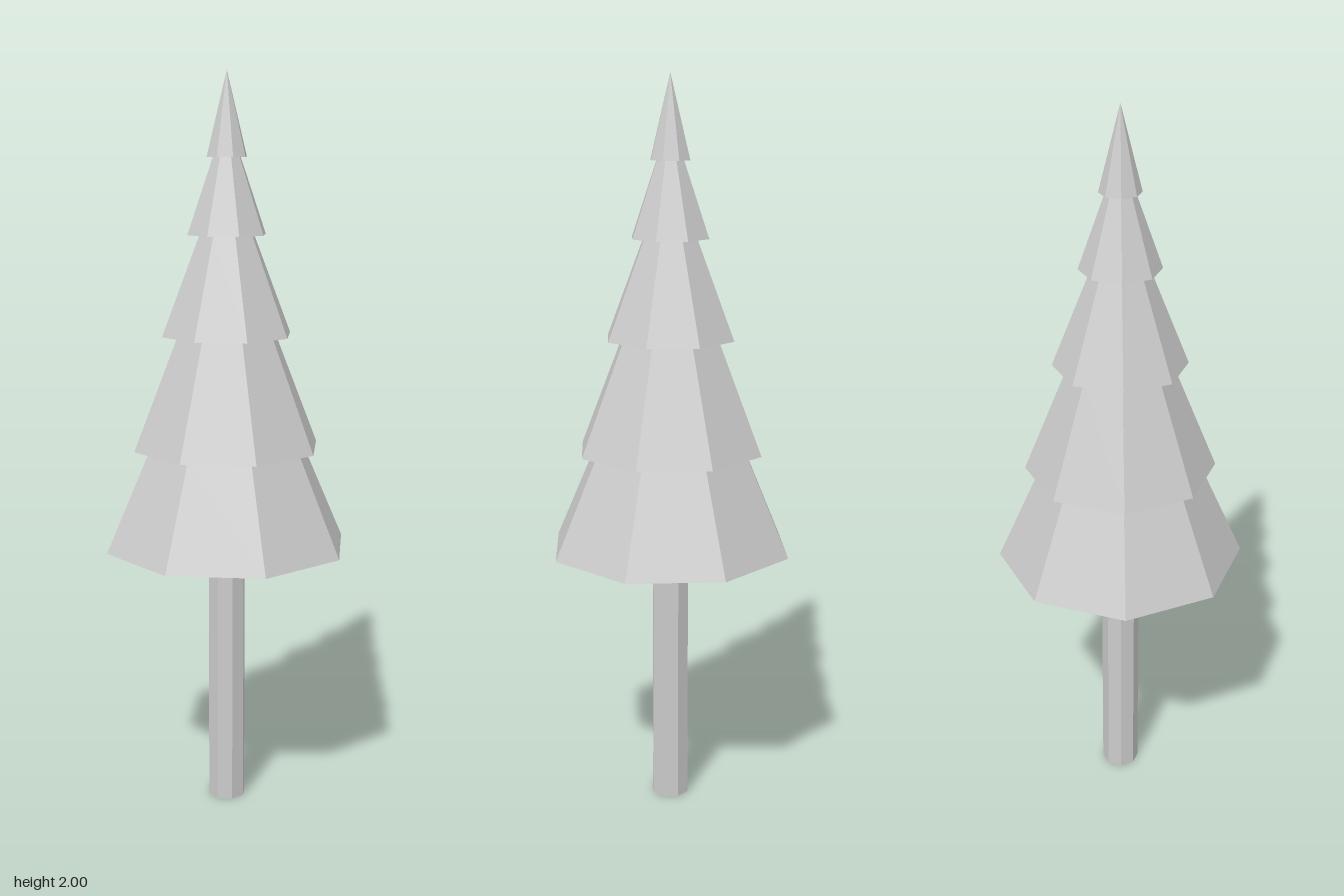
import * as THREE from 'three';

const SIDES = 8;

export function createModel() {
  const tree = new THREE.Group();
  tree.name = 'tree';
  const material = new THREE.MeshStandardMaterial({ color: 0xcccccc, flatShading: true });

  // Turn a profile of [radius, height] pairs into an eight-sided part
  const addPart = (name, profile) => {
    const points = profile.map(([r, y]) => new THREE.Vector2(r, y));
    const mesh = new THREE.Mesh(new THREE.LatheGeometry(points, SIDES), material);
    mesh.name = name;
    tree.add(mesh);
  };

  // Trunk with a closed foot
  const trunkRadius = 0.052;
  const trunkTop = 0.675;
  addPart('trunk', [[0, 0], [trunkRadius, 0], [trunkRadius, trunkTop]]);

  // Foliage tiers: skirt height, skirt radius, radius where the next tier begins
  const tiers = [
    [0.735, 0.337, 0.216],
    [1.01, 0.258, 0.136],
    [1.315, 0.179, 0.075],
    [1.58, 0.108, 0.038],
    [1.78, 0.055, 0],
  ];
  let inner = [trunkRadius, trunkTop];
  tiers.forEach(([y, radius, topRadius], i) => {
    const topY = i + 1 < tiers.length ? tiers[i + 1][0] : 2;
    // Underside ledge, then the sloping skirt
    addPart(`foliageTier${i + 1}`, [inner, [radius, y], [topRadius, topY]]);
    inner = [topRadius, topY];
  });

  return tree;
}
